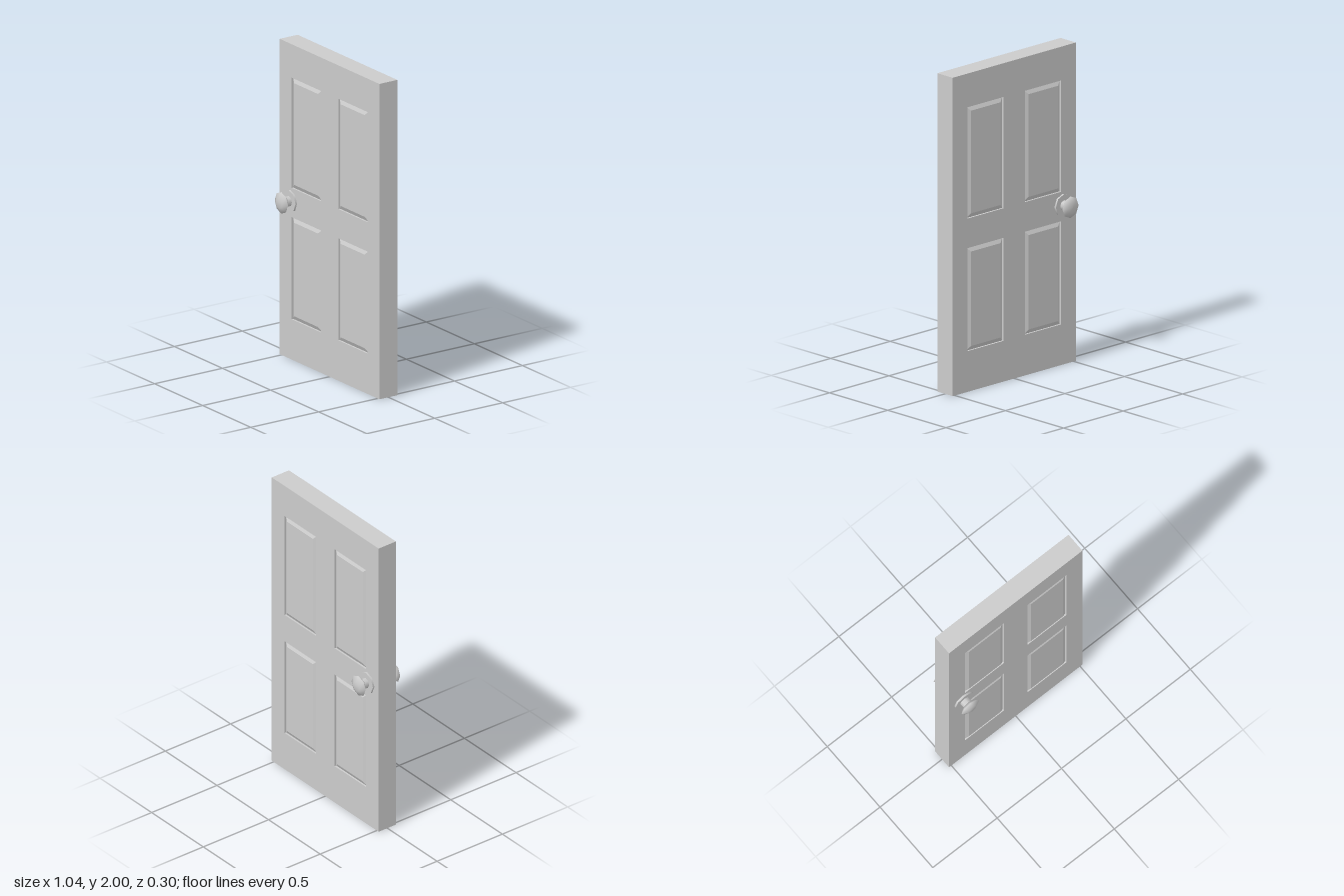
import * as THREE from 'three';

const material = new THREE.MeshStandardMaterial({ color: 0xcccccc });
const HALF = 0.066; // half the door thickness
const GROOVE = 0.012; // depth of the groove around each panel
const BEVEL = 0.027; // width of the panel bevel

function part(name, geometry, parent) {
  const mesh = new THREE.Mesh(geometry, material);
  mesh.name = name;
  parent.add(mesh);
  return mesh;
}

// Traces a rectangle into a Shape or a Path
function rectangle(target, x0, x1, y0, y1) {
  target.moveTo(x0, y0);
  target.lineTo(x1, y0);
  target.lineTo(x1, y1);
  target.lineTo(x0, y1);
  target.closePath();
  return target;
}

// Rosette, stem and eight-sided knob, pointing along +z from the door face
function createHandle(name) {
  const handle = new THREE.Group();
  handle.name = name;
  const rosette = new THREE.CylinderGeometry(0.07, 0.07, 0.014, 8).rotateX(Math.PI / 2);
  part('rosette', rosette, handle).position.z = 0.071;
  const stem = new THREE.CylinderGeometry(0.033, 0.033, 0.045, 8).rotateX(Math.PI / 2);
  part('stem', stem, handle).position.z = 0.097;
  const profile = [[0, 0.114], [0.048, 0.115], [0.068, 0.133], [0.032, 0.151], [0, 0.152]]
    .map(([r, h]) => new THREE.Vector2(r, h));
  part('knob', new THREE.LatheGeometry(profile, 8).rotateX(Math.PI / 2), handle);
  handle.position.set(-0.407, 1.003, 0);
  return handle;
}

export function createModel() {
  const door = new THREE.Group();
  door.name = 'door';

  // Frame with four openings
  const frame = rectangle(new THREE.Shape(), -0.518, 0.518, 0, 2);
  const panels = [];
  for (const [x0, x1] of [[-0.393, -0.091], [0.091, 0.393]]) {
    for (const [y0, y1] of [[0.256, 0.903], [1.089, 1.788]]) {
      frame.holes.push(rectangle(new THREE.Path(), x0, x1, y0, y1));
      panels.push([x0, x1, y0, y1]);
    }
  }
  const frameGeometry = new THREE.ExtrudeGeometry(frame, { depth: 2 * HALF, bevelEnabled: false });
  part('frame', frameGeometry.translate(0, 0, -HALF), door);

  // Panels bevelled on both faces, standing just proud of the frame
  const core = HALF - GROOVE;
  for (const [x0, x1, y0, y1] of panels) {
    const face = rectangle(new THREE.Shape(), x0 + BEVEL, x1 - BEVEL, y0 + BEVEL, y1 - BEVEL);
    const geometry = new THREE.ExtrudeGeometry(face, {
      depth: 2 * core, bevelEnabled: true, bevelSegments: 1,
      bevelSize: BEVEL, bevelThickness: GROOVE + 0.002,
    });
    part('panel', geometry.translate(0, 0, -core), door);
  }

  // Handles on both faces, near the same edge
  door.add(createHandle('frontHandle'));
  const back = createHandle('backHandle');
  back.rotation.y = Math.PI;
  door.add(back);

  return door;
}
